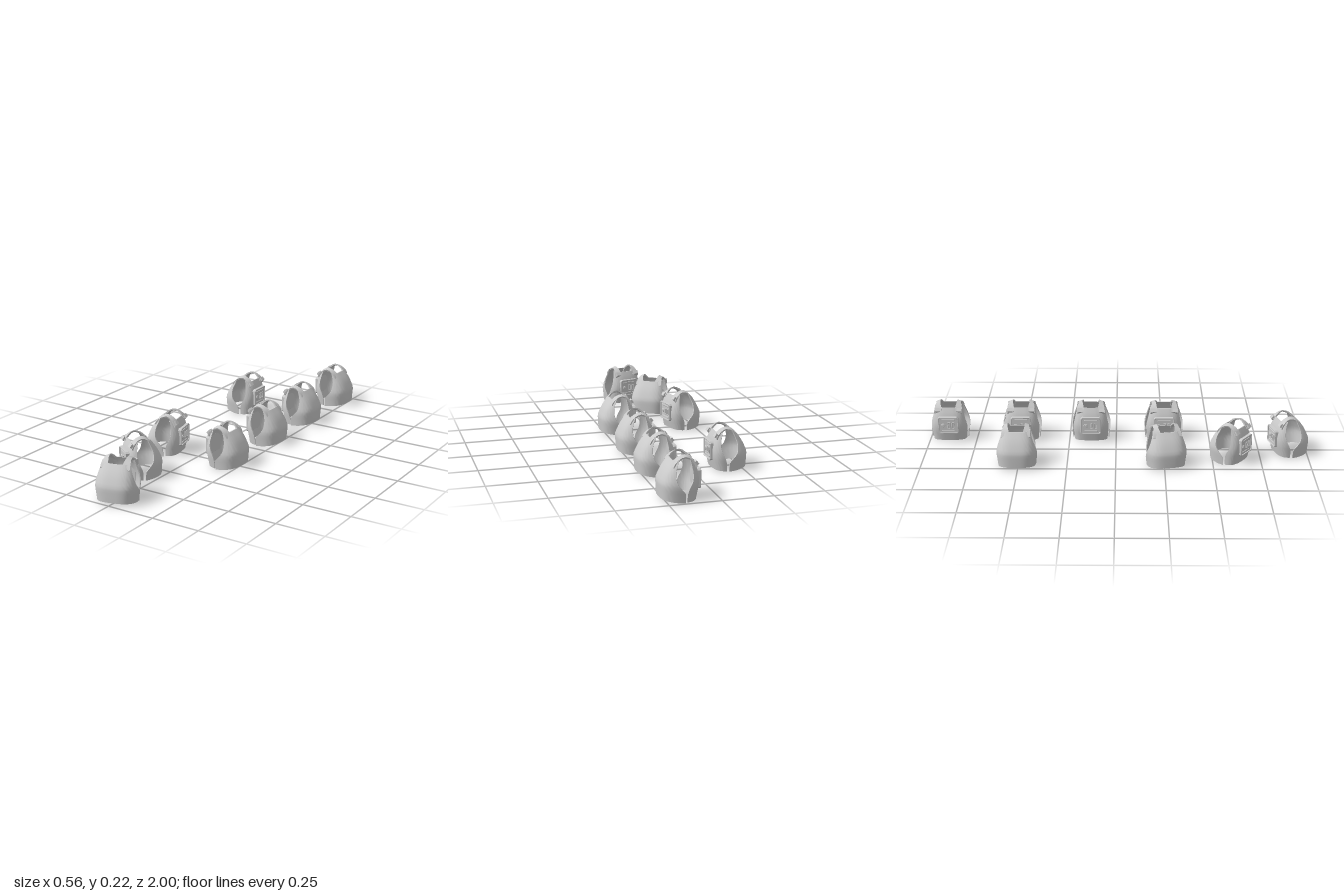
import * as THREE from 'three';
import { toCreasedNormals } from 'three/addons/utils/BufferGeometryUtils.js';

const material = new THREE.MeshStandardMaterial({ color: 0xcccccc, side: THREE.DoubleSide });

// Skin through closed rings; each ring runs along the outside, then back along the inside.
function loft(rings) {
  const n = rings[0].length, last = (rings.length - 1) * n, index = [];
  for (let j = 0; j < rings.length - 1; j++) {
    for (let i = 0; i < n; i++) {
      const a = j * n + i, b = j * n + (i + 1) % n;
      index.push(a, a + n, b + n, a, b + n, b);
    }
  }
  for (let i = 0; i < n / 2 - 1; i++) {
    const a = i, b = i + 1, c = n - 2 - i, d = n - 1 - i;
    index.push(a, b, c, a, c, d);
    index.push(last + a, last + c, last + b, last + a, last + d, last + c);
  }
  const g = new THREE.BufferGeometry();
  g.setAttribute('position', new THREE.Float32BufferAttribute(rings.flat(2), 3));
  g.setIndex(index);
  return toCreasedNormals(g, 0.55);
}

// Body plate: rows are [height, depth, arm-opening edge, half width]; dir is +1 front, -1 back.
function plate(rows, dir, arch) {
  const steps = 28, power = 0.66, thick = 0.005;
  const top = rows.length - 1;
  return loft(rows.map(([y, depth, edge, width], row) => {
    const aMax = Math.acos(Math.pow(edge / depth, 1 / power));
    const side = (inset) => Array.from({ length: steps + 1 }, (_, i) => {
      const s = (i / steps) * 2 - 1, a = s * aMax;
      const x = (depth - inset) * Math.pow(Math.cos(a), power);
      const z = (width - inset) * Math.sign(s) * Math.pow(Math.abs(Math.sin(a)), power);
      const lift = arch * (1 - s * s) * Math.max(0, 1 - y / 0.08);
      const neck = row === top ? 0.009 * Math.pow(Math.abs(s), 4) : 0;
      return [dir * x, y + lift + neck, dir * z];
    });
    return [...side(0), ...side(thick).reverse()];
  }));
}

const frontRows = [
  [0, 0.106, 0.003, 0.097], [0.02, 0.107, 0.003, 0.099], [0.045, 0.108, 0.004, 0.102],
  [0.06, 0.1085, 0.016, 0.104], [0.077, 0.109, 0.031, 0.105], [0.09, 0.108, 0.041, 0.104],
  [0.105, 0.102, 0.046, 0.101], [0.125, 0.093, 0.048, 0.096], [0.145, 0.082, 0.046, 0.09],
  [0.165, 0.068, 0.039, 0.083], [0.187, 0.05, 0.027, 0.076],
];
const backRows = [
  [0, 0.062, 0.007, 0.088], [0.02, 0.066, 0.007, 0.09], [0.04, 0.07, 0.008, 0.092],
  [0.055, 0.073, 0.012, 0.094], [0.07, 0.075, 0.018, 0.095], [0.085, 0.076, 0.027, 0.095],
  [0.1, 0.076, 0.033, 0.094], [0.12, 0.073, 0.037, 0.091], [0.14, 0.069, 0.036, 0.087],
  [0.165, 0.06, 0.032, 0.081], [0.187, 0.049, 0.025, 0.075],
];

// Shoulder strap: stations are [x, y, inner z, outer z]
function strap(side) {
  const stations = [
    [0.056, 0.172, 0.036, 0.074], [0.046, 0.188, 0.036, 0.073], [0.03, 0.203, 0.041, 0.07],
    [0.012, 0.212, 0.044, 0.066], [-0.006, 0.215, 0.045, 0.065], [-0.022, 0.21, 0.044, 0.067],
    [-0.038, 0.198, 0.04, 0.071], [-0.051, 0.185, 0.037, 0.074], [-0.058, 0.17, 0.036, 0.075],
  ];
  const rings = stations.map(([x, y, zi, zo]) => {
    const drop = 0.008, t = 0.007, k = x * 0.12;
    return [
      [x, y, zi * side], [x, y - drop, zo * side],
      [x - k, y - drop - t, (zo - 0.003) * side], [x - k, y - t, zi * side],
    ];
  });
  return loft(side > 0 ? rings : rings.reverse());
}

function rectangle(target, w, h, r) {
  const x = w / 2, y = h / 2;
  target.moveTo(-x + r, -y).lineTo(x - r, -y).lineTo(x, -y + r).lineTo(x, y - r);
  target.lineTo(x - r, y).lineTo(-x + r, y).lineTo(-x, y - r).lineTo(-x, -y + r).closePath();
  return target;
}

// Raised rectangle facing the rear, open in the middle when border > 0
function panel(w, h, depth, border, r) {
  const shape = rectangle(new THREE.Shape(), w, h, r);
  if (border) shape.holes.push(rectangle(new THREE.Path(), w - border * 2, h - border * 2, r * 0.6));
  const bevel = 0.0012;
  return new THREE.ExtrudeGeometry(shape, {
    depth, bevelEnabled: true, bevelSize: bevel, bevelThickness: bevel, bevelOffset: -bevel, bevelSegments: 1,
  }).rotateY(-Math.PI / 2);
}

const geo = {
  front: plate(frontRows, 1, 0.015),
  back: plate(backRows, -1, 0.006),
  straps: [1, -1].map(strap),
  base: panel(0.108, 0.094, 0.012, 0, 0.008),
  frame: panel(0.108, 0.094, 0.006, 0.006, 0.008),
  slot: panel(0.015, 0.034, 0.004, 0.003, 0.002),
  bar: panel(0.07, 0.008, 0.003, 0, 0.002),
  dial: new THREE.CylinderGeometry(0.01, 0.013, 0.006, 12).rotateZ(Math.PI / 2),
  knob: new THREE.CylinderGeometry(0.004, 0.005, 0.004, 8).rotateZ(Math.PI / 2),
  buckle: new THREE.BoxGeometry(0.012, 0.02, 0.026),
};

function makeVest() {
  const vest = new THREE.Group();
  const add = (name, geometry, x = 0, y = 0, z = 0) => {
    const mesh = new THREE.Mesh(geometry, material);
    mesh.name = name;
    mesh.position.set(x, y, z);
    vest.add(mesh);
    return mesh;
  };
  add('chestPlate', geo.front);
  add('backPlate', geo.back);
  geo.straps.forEach((g) => add('shoulderStrap', g));
  for (const side of [1, -1]) {
    add('strapBuckle', geo.buckle, -0.056, 0.177, side * 0.058).rotation.z = -0.65;
  }
  // Control box on the back
  add('backBox', geo.base, -0.064, 0.097);
  add('backBoxFrame', geo.frame, -0.075, 0.097);
  add('dial', geo.dial, -0.078, 0.095, -0.028);
  add('dialKnob', geo.knob, -0.081, 0.095, -0.028);
  for (const z of [0.004, 0.026]) add('slot', geo.slot, -0.076, 0.096, z);
  add('upperBar', geo.bar, -0.076, 0.127);
  add('lowerBar', geo.bar, -0.076, 0.066);
  return vest;
}

// Each vest: [x, z, forward x, forward z]
const placements = [
  [0.167, -0.895, 1, 0], [0.167, -0.507, 1, 0], [0.167, -0.135, 1, 0], [0.167, 0.255, 1, 0],
  [-0.167, -0.507, -1, 0], [-0.167, 0.253, -0.98, 0.2],
  [-0.115, 0.605, 0.57, -0.82], [-0.015, 0.89, 0.26, 0.966],
];

export function createModel() {
  const model = new THREE.Group();
  model.name = 'armourVests';
  placements.forEach(([x, z, fx, fz], i) => {
    const vest = makeVest();
    vest.name = `vest${i + 1}`;
    vest.position.set(x, 0, z);
    vest.rotation.y = Math.atan2(-fz, fx);
    model.add(vest);
  });
  return model;
}
